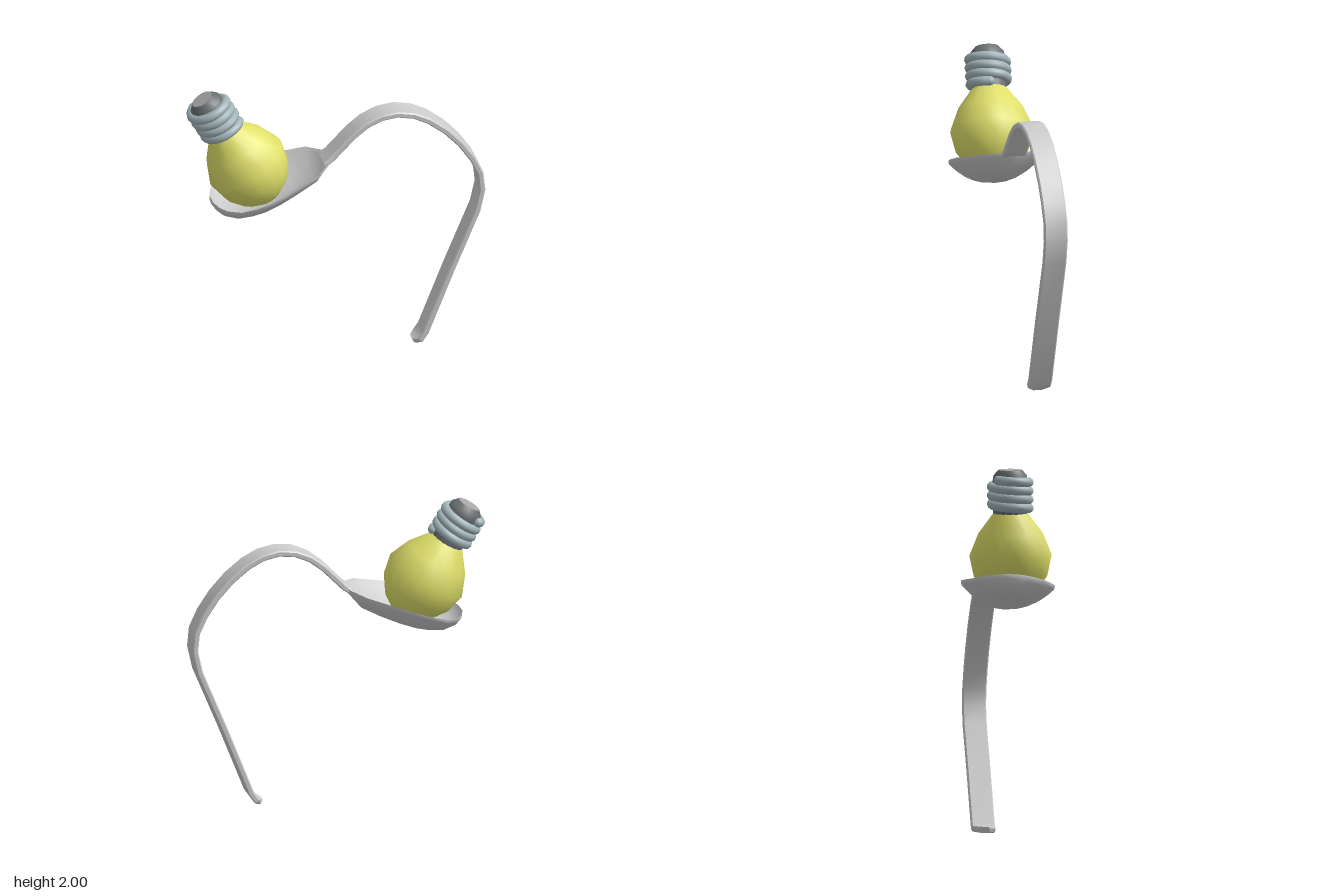
import * as THREE from 'three';
import { toCreasedNormals } from 'three/addons/utils/BufferGeometryUtils.js';

const material = (color) => new THREE.MeshStandardMaterial({ color });

function part(name, geometry, mat) {
  const mesh = new THREE.Mesh(geometry, mat);
  mesh.name = name;
  return mesh;
}

// Skins a row of closed cross-sections and caps both ends.
function loft(loops, crease) {
  const n = loops[0].length, last = (loops.length - 1) * n;
  const index = [];
  for (let i = 0; i < loops.length - 1; i++) {
    for (let j = 0; j < n; j++) {
      const k = (j + 1) % n;
      const a = i * n + j, b = i * n + k, c = b + n, d = a + n;
      index.push(a, b, c, a, c, d);
    }
  }
  for (let j = 1; j < n - 1; j++) {
    index.push(0, j + 1, j, last, last + j, last + j + 1);
  }
  const geometry = new THREE.BufferGeometry();
  geometry.setAttribute('position', new THREE.Float32BufferAttribute(loops.flat(2), 3));
  geometry.setIndex(index);
  return toCreasedNormals(geometry, crease);
}

// Spoon bowl: stations of [x, half width, rim height, lowest height]
function bowlGeometry() {
  const stations = [
    [-0.845, 0.05, 1.235, 1.2], [-0.82, 0.13, 1.235, 1.165], [-0.78, 0.2, 1.24, 1.135],
    [-0.7, 0.265, 1.255, 1.113], [-0.6, 0.3, 1.29, 1.123], [-0.52, 0.31, 1.32, 1.142],
    [-0.42, 0.295, 1.355, 1.18], [-0.3, 0.25, 1.39, 1.235], [-0.17, 0.2, 1.43, 1.305],
    [-0.08, 0.09, 1.455, 1.415],
  ];
  const steps = 14;
  const loops = stations.map(([x, w, rim, low]) => {
    const inner = [], outer = [];
    for (let i = 0; i <= steps; i++) {
      const s = -Math.cos((i / steps) * Math.PI);
      const dip = 1 - Math.abs(s) ** 2.2;
      inner.push([x, rim - Math.max(0, rim - low - 0.03) * dip, s * w]);
      outer.unshift([x, rim - 0.022 - (rim - 0.022 - low) * dip, s * w * 0.985]);
    }
    return [...inner, ...outer];
  });
  return loft(loops, 0.9);
}

// Bent handle: a bevelled flat bar following a path in the xy plane
function handleGeometry() {
  const path = [
    [-0.1, 1.432], [-0.05, 1.468], [0, 1.52], [0.09, 1.614], [0.18, 1.685], [0.28, 1.73],
    [0.39, 1.743], [0.5, 1.72], [0.6, 1.668], [0.71, 1.58], [0.81, 1.47], [0.89, 1.35],
    [0.943, 1.235], [0.955, 1.11], [0.922, 0.96], [0.75, 0.54], [0.575, 0.09],
    [0.54, 0.04], [0.502, 0.018],
  ];
  const end = path.length - 1;
  const loops = path.map(([x, y], i) => {
    const p = path[Math.max(0, i - 1)], q = path[Math.min(end, i + 1)];
    const length = Math.hypot(q[0] - p[0], q[1] - p[1]);
    const nx = -(q[1] - p[1]) / length, ny = (q[0] - p[0]) / length;
    const w = i === end ? 0.035 : i === 0 ? 0.088 : 0.078;
    const h = i === 0 ? 0.014 : 0.02, b = 0.008;
    const section = [
      [-w + b, h], [w - b, h], [w, h - b], [w, b - h],
      [w - b, -h], [b - w, -h], [-w, b - h], [-w, h - b],
    ];
    return section.map(([z, t]) => [x + nx * t, y + ny * t, z]);
  });
  return loft(loops, 0.7);
}

const lathe = (points, sides) =>
  new THREE.LatheGeometry(points.map(([r, y]) => new THREE.Vector2(r, y)), sides);

// Light bulb, upright, with its neck at the local origin
function createBulb() {
  const bulb = new THREE.Group();
  bulb.name = 'lightBulb';
  const dark = material(0x6b7072), metal = material(0xa3b5ba);

  bulb.add(part('glass', lathe([
    [0, -0.605], [0.09, -0.585], [0.175, -0.525], [0.243, -0.425], [0.272, -0.29],
    [0.215, -0.15], [0.125, -0.03], [0.1, 0],
  ], 16), material(0xdfdf6a)));

  // Dark core of the screw cap, tapering to the contact
  bulb.add(part('capCore', toCreasedNormals(lathe([
    [0.112, -0.05], [0.115, 0.2], [0.11, 0.232], [0.078, 0.268], [0.072, 0.268],
  ], 24), 0.7), dark));
  const contact = part('contact', new THREE.CylinderGeometry(0.074, 0.074, 0.01, 24), material(0xa8a5a5));
  contact.position.y = 0.264;
  bulb.add(contact);

  // Screw thread: a helix with rounded ends
  const turns = 3.6, points = [];
  for (let i = 0; i <= 72; i++) {
    const a = 0.2 + (i / 72) * turns * Math.PI * 2;
    points.push(new THREE.Vector3(Math.cos(a) * 0.121, 0.004 + (i / 72) * 0.203, Math.sin(a) * 0.121));
  }
  const helix = new THREE.CatmullRomCurve3(points);
  bulb.add(part('screwThread', new THREE.TubeGeometry(helix, 120, 0.032, 10), metal));
  for (const p of [points[0], points[72]]) {
    const cap = part('threadEnd', new THREE.SphereGeometry(0.032, 10, 8), metal);
    cap.position.copy(p);
    bulb.add(cap);
  }
  return bulb;
}

export function createModel() {
  const model = new THREE.Group();
  model.name = 'spoonLamp';

  const steel = material(0xcccccc);
  const spoon = new THREE.Group();
  spoon.name = 'spoon';
  spoon.add(part('bowl', bowlGeometry(), steel), part('handle', handleGeometry(), steel));

  // The bulb leans back out of the bowl
  const bulb = createBulb();
  const axis = new THREE.Vector3(-0.5, 0.866, -0.08).normalize();
  bulb.quaternion.setFromUnitVectors(new THREE.Vector3(0, 1, 0), axis);
  bulb.position.set(-0.76, 1.73, -0.02);

  model.add(spoon, bulb);
  return model;
}
